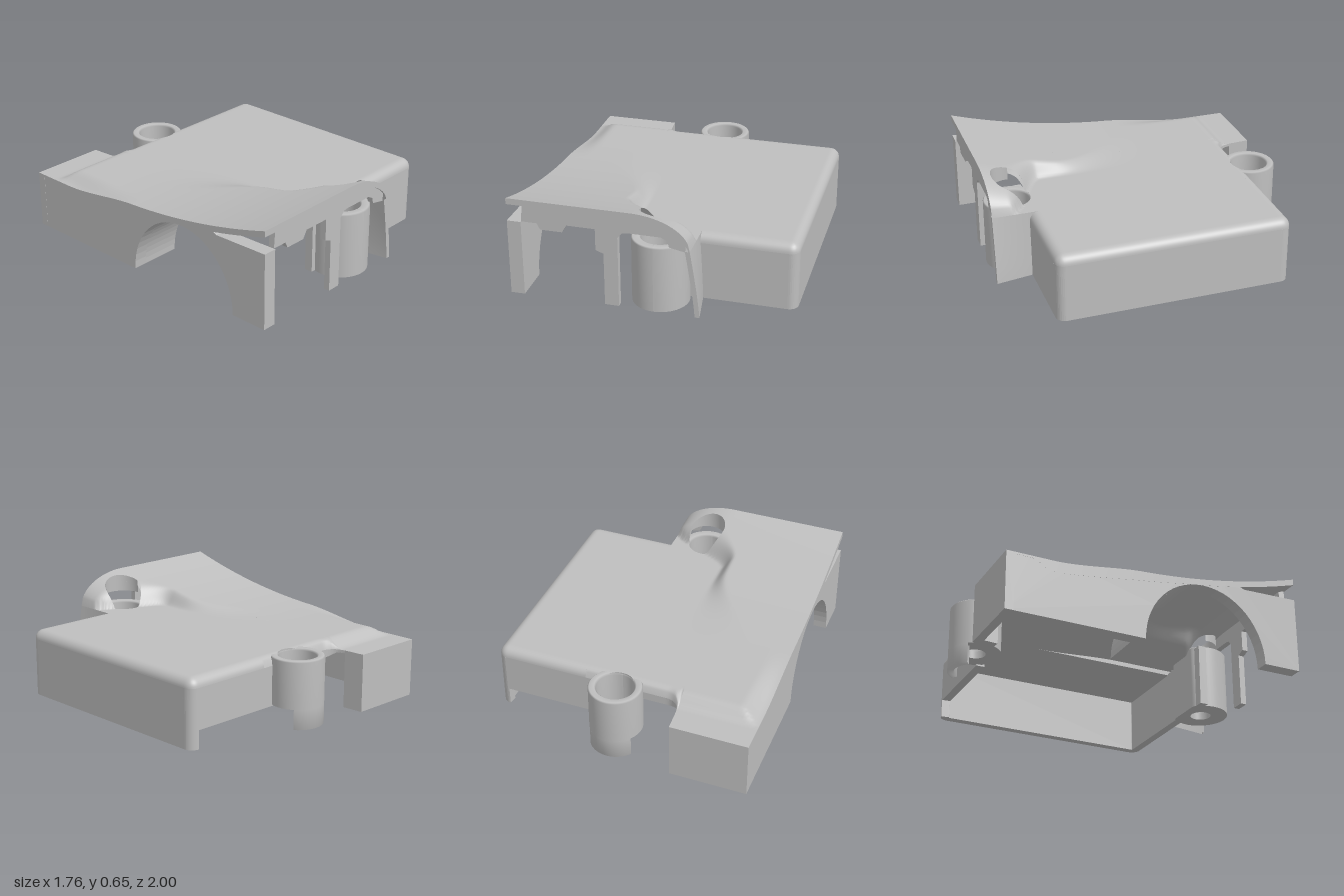
import * as THREE from 'three';

const casing = new THREE.MeshStandardMaterial({ color: 0xbebebe, side: THREE.DoubleSide });
casing.name = 'grey casing';
const FLAT = 0.44, R = 0.06, HOLE = 0.125;
const BOSSES = [{ x: 0.04, z: 0.82 }, { x: 0.04, z: -0.825 }];
const { smoothstep, lerp, clamp } = THREE.MathUtils;

// Height of the swept-up left side along z
const sweep = z => 0.21 * Math.pow(Math.max(0, (z + 0.4) / 1.4), 2.1);

// Roof height: the sweep rolls off to the flat deck on the right
function roofHeight(x, z) {
  const k = smoothstep(z, 0.58, 0.88);
  const right = lerp(-0.15, 0.27, k);
  const left = right - lerp(lerp(0.45, 0.09, smoothstep(z, -0.2, 0.45)), 0.37, k);
  const t = clamp((x - left) / (right - left), 0, 1);
  const rounded = Math.sqrt(1 - t * t), soft = 1 - smoothstep(t, 0, 1);
  // lowered step over the back bay and along the rear left edge
  const back = (1 - smoothstep(z, -0.83, -0.72)) * (1 - smoothstep(x, -0.37, -0.27));
  const side = (1 - smoothstep(x, -0.88, -0.74)) * (1 - smoothstep(z, -0.7, -0.1));
  return FLAT + sweep(z) * lerp(soft, rounded, k) - 0.06 * Math.max(back, side);
}
// Roof is thinner over the bay, the arch and the raised front
const roofThickness = z => lerp(0.07, 0.04, smoothstep(z, -0.3, 0.3)) * lerp(0.2, 1, smoothstep(z, -0.83, -0.72));

// Grid surface from a rule; cells rejected by skip are left open
function grid(f, nu, nv, skip) {
  const pos = [], idx = [];
  for (let j = 0; j <= nv; j++)
    for (let i = 0; i <= nu; i++) pos.push(...f(i / nu, j / nv));
  const w = nu + 1;
  for (let j = 0; j < nv; j++)
    for (let i = 0; i < nu; i++) {
      const a = j * w + i, b = a + 1, c = a + w, d = c + 1;
      if (skip && skip(i / nu, j / nv, 1 / nu, 1 / nv)) continue;
      idx.push(a, c, b, b, c, d);
    }
  const g = new THREE.BufferGeometry();
  g.setAttribute('position', new THREE.Float32BufferAttribute(pos, 3));
  g.setIndex(idx);
  g.computeVertexNormals();
  return g;
}

export function createModel() {
  const model = new THREE.Group();
  const add = (name, geometry, parent = model) => {
    const mesh = new THREE.Mesh(geometry, casing);
    mesh.name = name;
    parent.add(mesh);
    return mesh;
  };

  // Slab with top, underside and edge strips
  function slab(name, top, thick, nu, nv, skip) {
    const group = new THREE.Group();
    group.name = name;
    const low = (u, v) => { const p = top(u, v); return [p[0], p[1] - thick(p[2]), p[2]]; };
    add(name + 'Top', grid(top, nu, nv, skip), group);
    // mirrored in u so that the underside faces down
    add(name + 'Underside', grid((u, v) => low(1 - u, v), nu, nv,
      skip && ((u, v, du, dv) => skip(1 - u - du, v, du, dv))), group);
    const edges = [t => [t, 1], t => [1 - t, 0], t => [1, 1 - t], t => [0, t]];
    edges.forEach((e, i) => add(name + 'Edge', grid((t, s) => {
      const p = top(...e(t));
      return [p[0], p[1] - thick(p[2]) * s, p[2]];
    }, i < 2 ? nu : nv, 1), group));
    model.add(group);
  }

  // Left roof column
  slab('leftRoof', (u, v) => {
    const z = lerp(-1, 1, v), x = lerp(-0.88, z < -0.86 ? -0.37 - (-0.86 - z) * 0.07 : -0.37, u);
    return [x, roofHeight(x, z), z];
  }, roofThickness, 28, 100);

  // Middle roof column, with openings for both screws
  const midBack = x => -0.76 - (x < -0.27 ? 0.1 - Math.sqrt(Math.max(0, 0.01 - (x + 0.27) ** 2)) : 0);
  const midRaw = (u, v) => {
    const x = lerp(-0.37, 0.27, u);
    return [x, lerp(midBack(x), 1, v)];
  };
  const bossDist = (x, z, b) => Math.hypot(x - b.x, z - b.z);
  const midSkip = (u, v, du, dv) => BOSSES.some(boss => [[0, 0], [1, 0], [0, 1], [1, 1]]
    .every(([a, b]) => bossDist(...midRaw(u + a * du, v + b * dv), boss) < HOLE + 1e-6));
  slab('middleRoof', (u, v) => {
    let [x, z] = midRaw(u, v);
    for (const b of BOSSES) {
      const d = bossDist(x, z, b);
      if (d < HOLE && d > 0.001) {
        x = b.x + (x - b.x) * HOLE / d;
        z = b.z + (z - b.z) * HOLE / d;
      }
    }
    const back = clamp(z - midBack(x), 0, R);
    const rim = back < R ? FLAT - R + Math.sqrt(R * R - (R - back) ** 2) : 1;
    return [x, Math.min(rim, roofHeight(x, z)), z];
  }, roofThickness, 50, 140, midSkip);

  // Right deck with rounded rim and corners
  const ease = t => (1 - Math.cos(Math.PI * t)) / 2;
  slab('rightDeck', (u, v) => {
    const x = lerp(0.27, 0.88, Math.sin(u * Math.PI / 2)), z = lerp(-0.76, 0.76, ease(v));
    const cx = Math.min(x, 0.88 - R), cz = clamp(z, -0.76 + R, 0.76 - R);
    const dx = x - cx, dz = z - cz, m = Math.max(Math.abs(dx), Math.abs(dz));
    const k = m > 0 ? m / Math.hypot(dx, dz) : 0;
    return [cx + dx * k, FLAT - R + Math.sqrt(Math.max(0, R * R - m * m)), cz + dz * k];
  }, () => 0.07, 40, 60);

  // Upright wall following a plan path, thickened to its inner side
  function wall(name, path, y0, y1, thick = 0.055) {
    const pts = path.map(p => new THREE.Vector2(p[0], -p[1]));
    const inner = pts.map((p, i) => {
      const a = pts[Math.max(0, i - 1)], b = pts[Math.min(pts.length - 1, i + 1)];
      const t = b.clone().sub(a).normalize();
      return new THREE.Vector2(p.x - t.y * thick, p.y + t.x * thick);
    });
    const g = new THREE.ExtrudeGeometry(new THREE.Shape([...pts, ...inner.reverse()]),
      { depth: y1 - y0, bevelEnabled: false });
    g.rotateX(-Math.PI / 2).translate(0, y0, 0);
    add(name, g);
  }
  const arc = (cx, cz, r, a0, a1, n = 8) => Array.from({ length: n + 1 }, (_, i) => {
    const a = lerp(a0, a1, i / n);
    return [cx + r * Math.cos(a), cz + r * Math.sin(a)];
  });
  const Q = Math.PI / 2;
  wall('frontAndRightWall', [[0.18, 0.76], ...arc(0.82, 0.7, R, Q, 0), ...arc(0.82, -0.7, R, 0, -Q)], 0, FLAT - R);
  wall('innerFrontWall', [[-0.16, 0.76], [-0.1, 0.76]], 0, FLAT - 0.02);
  wall('backWall', [[0.83, -0.76], [0.18, -0.76]], 0.12, FLAT - R);
  wall('backLintel', [[-0.1, -0.76], ...arc(-0.27, -0.86, 0.1, Q, 2 * Q), [-0.372, -0.88]], 0.36, FLAT - R, 0.04);
  wall('backBayWall', [[-0.37, -0.86], [-0.38, -1]], 0, FLAT - 0.065);
  wall('backEndWall', [[-0.38, -1], [-0.88, -1]], 0, FLAT - 0.065);

  // Left wall: side profile with a broad arch and a gap under the raised roof
  const AZ = 0.33, AR = 0.42, AH = 0.45;
  const archPoints = (a0, a1, n, grow = 0) => Array.from({ length: n + 1 }, (_, i) => {
    const a = lerp(a0, a1, i / n);
    return new THREE.Vector2(AZ + (AR + grow) * Math.cos(a), (AH + grow * 0.3) * Math.sin(a));
  });
  function sideProfile(name, points, x0, x1) {
    const g = new THREE.ExtrudeGeometry(new THREE.Shape(points), { depth: x1 - x0, bevelEnabled: false });
    g.rotateY(-Q).translate(x1, 0, 0); // shape x becomes z
    add(name, g);
  }
  const P = (a, b) => new THREE.Vector2(a, b);
  const roofLine = [];
  for (let z = 0.55; z > -1; z -= 0.1) roofLine.push(P(z, roofHeight(-0.88, z) - 0.008));
  sideProfile('leftWall', [P(-1, 0), ...archPoints(Math.PI, 0, 28), P(1, 0), P(1, 0.5), P(0.62, 0.49),
    ...roofLine, P(-1, FLAT - 0.068)], -0.879, -0.79);
  // Rear half of the vault behind the arch
  sideProfile('vault', [...archPoints(Math.PI, Q, 18), ...archPoints(Q, Math.PI, 18, 0.06)], -0.79, -0.53);

  // Lip wall running down from the raised front edge
  const lip = inset => (u, v) => {
    const z = lerp(0.72, 1, u), bottom = lerp(0.285, 0.33, u);
    const x = lerp(bottom, 0.27, Math.pow(v, 1.25)) - inset;
    return [x, v * FLAT, z];
  };
  add('lipOuter', grid(lip(0), 8, 10));
  add('lipInner', grid(lip(0.03), 8, 10));
  add('lipEdge', grid((u, v) => lip(0.03 * u)(1, v), 1, 10));

  // Pocket wall in the raised roof in front of the front screw
  add('screwPocket', grid((u, v) => {
    const a = lerp(-0.1, Math.PI + 0.1, u);
    const x = BOSSES[0].x + HOLE * Math.cos(a), z = BOSSES[0].z + HOLE * Math.sin(a);
    const top = roofHeight(x, z);
    return [x, lerp(Math.min(0.51, top), top, v), z];
  }, 28, 2));

  // Screw bosses: counterbored tubes with a pierced floor, cut flush with the inside of the walls
  function boss(name, { x, z }, r, y0, floor) {
    const top = FLAT - 0.004;
    const profile = [[0.068, y0], [r, y0], [r, y0], [r, top - 0.008], [r - 0.008, top], [0.13, top], [0.12, top - 0.012],
      [0.12, floor], [0.12, floor], [0.068, floor], [0.068, floor], [0.068, y0]].map(p => P(...p));
    const g = new THREE.LatheGeometry(profile, 48), pos = g.attributes.position;
    const reach = Math.abs(z) - 0.69;
    for (let i = 0; i < pos.count; i++) {
      const out = pos.getZ(i) * Math.sign(z);
      if (out < -reach) pos.setZ(i, -reach * Math.sign(z));
    }
    g.computeVertexNormals();
    add(name, g).position.set(x, 0, z);
  }
  boss('frontBoss', BOSSES[0], 0.18, 0, 0.1);
  boss('backBoss', BOSSES[1], 0.17, 0.13, 0.18);
  const skirt = [[0.13, 0.13], [0.13, 0], [0.17, 0], [0.17, 0.13]].map(p => P(...p));
  add('backBossSkirt', new THREE.LatheGeometry(skirt, 20, Math.PI * 0.7, Math.PI * 0.6)).position.set(BOSSES[1].x, 0, BOSSES[1].z);

  // Front panel under the raised edge, with its hanging tab and the slot over the boss
  const frontTop = [];
  for (let x = 0.24; x > -0.8; x -= 0.03) frontTop.push(P(x, roofHeight(x, 0.95) - 0.01));
  const panel = new THREE.Shape([P(-0.79, 0.5), P(-0.69, 0.5), P(-0.67, 0.46), P(-0.53, 0.46), P(-0.5, 0.51), P(-0.32, 0.51),
    P(-0.32, 0.37), P(-0.27, 0.35), P(-0.27, 0), P(-0.18, 0), P(-0.18, 0.47), P(-0.15, 0.505), P(-0.12, 0.51),
    P(0.09, 0.51), P(0.13, 0.49), P(0.14, 0.45), P(0.24, 0.43), ...frontTop]);
  add('frontPanel', new THREE.ExtrudeGeometry(panel, { depth: 0.04, bevelEnabled: false })).position.z = 0.95;
  return model;
}
